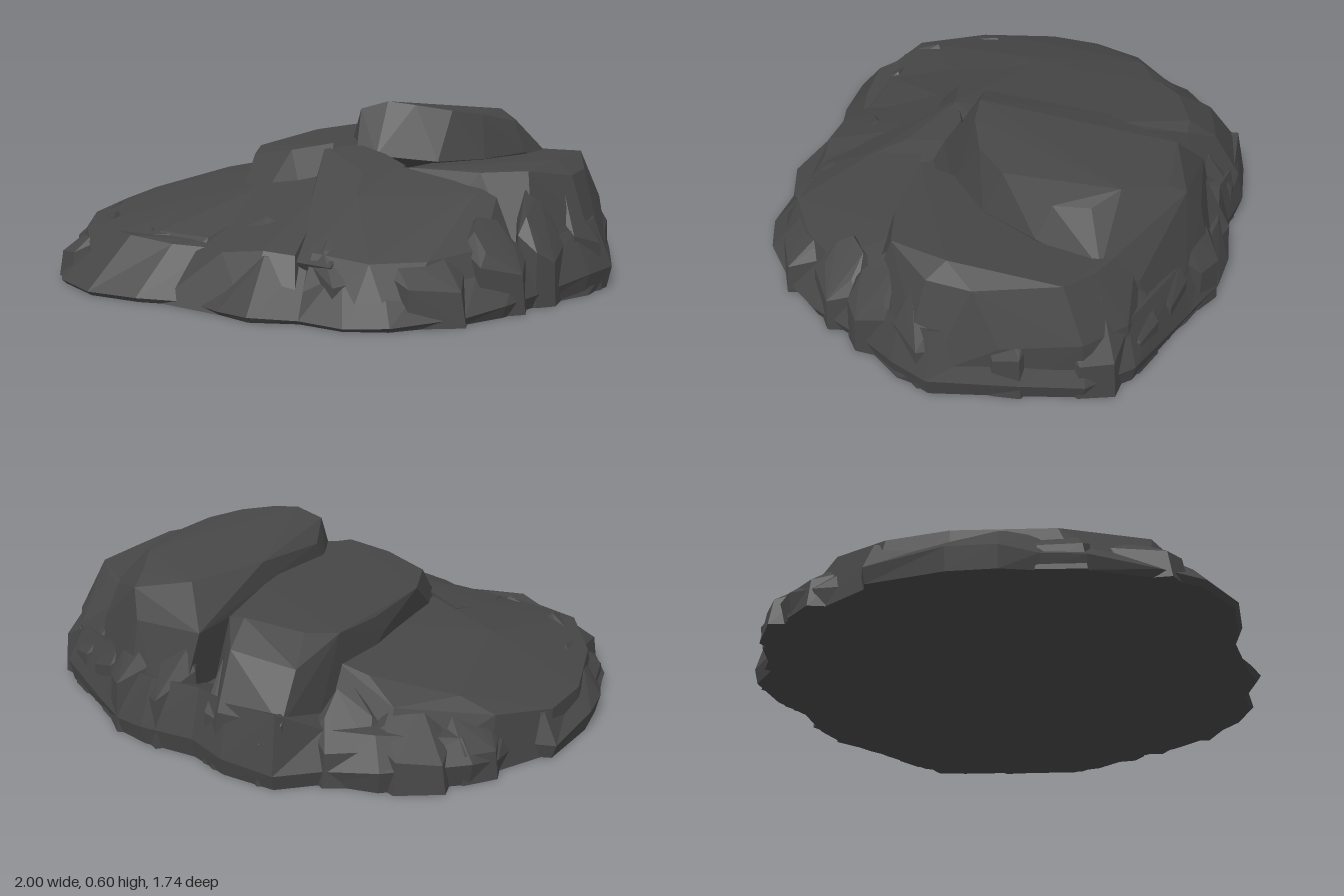
import * as THREE from 'three';
import { ConvexGeometry } from 'three/addons/geometries/ConvexGeometry.js';

const stone = new THREE.MeshStandardMaterial({ color: 0x464646 });
stone.name = 'dark stone';

// Ground outline as x, z pairs, from the back round by the left side
const OUTLINE = [
  [-0.34, -0.86], [-0.15, -0.87], [0, -0.83], [0.2, -0.85], [0.32, -0.83], [0.47, -0.75],
  [0.78, -0.61], [0.89, -0.47], [0.94, -0.26], [1, 0.02], [0.95, 0.15], [0.84, 0.33],
  [0.77, 0.5], [0.68, 0.62], [0.5, 0.78], [0.37, 0.83], [0.22, 0.82], [0.07, 0.87],
  [-0.05, 0.84], [-0.18, 0.79], [-0.36, 0.83], [-0.55, 0.83], [-0.72, 0.75], [-0.81, 0.63],
  [-0.91, 0.44], [-0.94, 0.31], [-0.98, 0.2], [-1, 0.05], [-0.98, -0.2], [-0.87, -0.25],
  [-0.87, -0.4], [-0.83, -0.5], [-0.62, -0.7], [-0.45, -0.75],
];

// Large slabs, each the hull of a few x, y, z corners
const SLABS = {
  rightLowSlab: [
    [-0.96, 0, 0.05], [-0.95, 0, -0.18], [-0.88, 0, 0.42], [-0.78, 0, 0.6], [-0.55, 0, 0.78],
    [-0.3, 0, 0.78], [-0.84, 0, -0.4], [-0.6, 0, -0.65], [-0.3, 0, -0.7],
    [-0.95, 0.15, 0.05], [-0.94, 0.15, -0.15], [-0.87, 0.16, 0.35], [-0.83, 0.18, -0.35],
    [-0.72, 0.17, 0.6], [-0.55, 0.17, 0.66], [-0.3, 0.19, 0.62], [-0.8, 0.21, 0.05],
    [-0.72, 0.23, -0.38], [-0.6, 0.26, 0.1], [-0.36, 0.3, -0.1], [-0.34, 0.3, -0.5],
    [-0.46, 0.28, -0.5], [-0.3, 0.29, 0.22], [-0.58, 0.22, -0.55],
  ],
  middleSlab: [
    [-0.38, 0, -0.75], [-0.3, 0, -0.83], [-0.1, 0, -0.85], [0, 0, -0.8], [0.2, 0, 0.6],
    [-0.25, 0, 0.55], [-0.37, 0.33, -0.25], [-0.36, 0.39, -0.3], [-0.35, 0.4, -0.5],
    [-0.35, 0.4, 0], [-0.27, 0.4, 0.19], [-0.1, 0.43, 0.23], [0.05, 0.46, 0.2],
    [0.12, 0.46, 0.1], [0.08, 0.46, -0.1], [0.02, 0.46, -0.4], [-0.27, 0.41, -0.58],
    [-0.08, 0.44, -0.64], [-0.02, 0.43, -0.64], [-0.32, 0.34, -0.7], [-0.1, 0.37, -0.74],
    [-0.34, 0.2, -0.81], [-0.12, 0.2, -0.84],
  ],
  leftShelf: [
    [0.95, 0, 0.14], [0.97, 0, 0.02], [0.92, 0, -0.26], [0.87, 0, -0.46], [0.76, 0, -0.6],
    [0.82, 0, 0.33], [0.3, 0, 0.4], [0.4, 0, -0.7], [0.98, 0.08, 0.02], [0.92, 0.2, -0.2],
    [0.92, 0.22, 0.08], [0.86, 0.22, -0.45], [0.87, 0.38, -0.1], [0.86, 0.38, 0.05],
    [0.8, 0.42, 0], [0.75, 0.41, 0.2], [0.6, 0.4, 0.24], [0.35, 0.4, 0.24],
    [0.8, 0.4, -0.37], [0.7, 0.38, -0.45], [0.74, 0.22, -0.57], [0.5, 0.37, -0.55],
  ],
  topDome: [
    [0.1, 0.57, 0.07], [0.2, 0.6, 0.06], [0.3, 0.59, 0.05], [0.42, 0.57, 0], [0.5, 0.55, -0.1],
    [0.57, 0.51, -0.28], [0.54, 0.5, -0.4], [0.46, 0.53, -0.48], [0.37, 0.5, -0.62],
    [0.15, 0.51, -0.62], [0.06, 0.52, -0.35], [0.04, 0.51, -0.05], [0.03, 0.42, 0],
    [0.12, 0.42, 0.16], [0.2, 0.42, 0.17], [0.4, 0.4, 0.09], [0.53, 0.4, -0.04],
    [0.62, 0.4, -0.24], [0.66, 0.36, -0.46], [0.05, 0.38, -0.71], [0.3, 0.38, -0.73],
    [0.35, 0.47, -0.68], [0.46, 0.37, -0.64], [0.6, 0.28, -0.58],
    [0.1, 0, -0.82], [0.3, 0, -0.82], [0.48, 0, -0.74], [0.6, 0, -0.66],
  ],
  frontMiddleSlope: [
    [-0.3, 0, 0.8], [-0.18, 0, 0.78], [0.05, 0, 0.84], [0.2, 0, 0.8], [-0.25, 0.15, 0.68],
    [-0.1, 0.17, 0.72], [0.05, 0.19, 0.72], [0.15, 0.18, 0.7], [-0.1, 0.25, 0.48],
    [0.1, 0.29, 0.45], [0.1, 0.37, 0.28], [-0.2, 0.34, 0.24],
  ],
  frontLeftSlope: [
    [0.2, 0, 0.8], [0.37, 0, 0.81], [0.5, 0, 0.76], [0.66, 0, 0.6], [0.75, 0, 0.48],
    [0.82, 0, 0.33], [0.2, 0.19, 0.68], [0.4, 0.18, 0.7], [0.55, 0.18, 0.6],
    [0.68, 0.2, 0.45], [0.25, 0.33, 0.45], [0.45, 0.32, 0.38], [0.6, 0.34, 0.28],
    [0.3, 0.4, 0.25], [0.65, 0.39, 0.15],
  ],
  frontSaddle: [
    [0, 0.2, 0.1], [0.4, 0.2, 0.1], [0.02, 0.45, 0.2], [0.14, 0.45, 0.15], [0.24, 0.43, 0.18],
    [0.32, 0.4, 0.2], [0.05, 0.39, 0.29], [0.22, 0.39, 0.33], [0.1, 0.28, 0.5],
    [0.26, 0.3, 0.5], [0.15, 0.16, 0.7], [0.28, 0.16, 0.72], [0.05, 0, 0.6], [0.3, 0, 0.6],
  ],
  frontRightSlope: [
    [-0.5, 0, 0.3], [-0.1, 0, 0.3], [-0.42, 0.28, 0.18], [-0.28, 0.3, 0.25],
    [-0.15, 0.32, 0.3], [-0.46, 0.24, 0.38], [-0.25, 0.26, 0.42], [-0.12, 0.25, 0.48],
    [-0.4, 0.19, 0.62], [-0.2, 0.19, 0.64], [-0.4, 0, 0.8], [-0.18, 0, 0.77],
  ],
};

// Crags round the rim, sloping outwards: x, z, width, depth, height
const CRAGS = [
  [-0.27, -0.73, 0.2, 0.24, 0.34], [-0.1, -0.74, 0.16, 0.22, 0.35], [0.15, -0.73, 0.2, 0.22, 0.38],
  [0.32, -0.71, 0.2, 0.22, 0.38], [0.48, -0.64, 0.2, 0.18, 0.34], [-0.46, -0.62, 0.24, 0.26, 0.25],
  [-0.64, -0.55, 0.28, 0.24, 0.22], [-0.77, -0.4, 0.2, 0.22, 0.21], [0.64, -0.56, 0.22, 0.2, 0.3],
  [0.79, -0.45, 0.18, 0.26, 0.33], [0.86, -0.2, 0.16, 0.26, 0.37], [0.88, 0.05, 0.18, 0.22, 0.36],
  [0.8, 0.24, 0.18, 0.22, 0.35], [0.7, 0.4, 0.22, 0.24, 0.28], [0.52, 0.58, 0.34, 0.26, 0.24],
  [0.3, 0.64, 0.24, 0.26, 0.25], [-0.02, 0.63, 0.3, 0.28, 0.25],
  [-0.28, 0.62, 0.26, 0.26, 0.22], [-0.52, 0.65, 0.32, 0.22, 0.2], [-0.72, 0.55, 0.22, 0.28, 0.2],
  [-0.85, 0.32, 0.16, 0.28, 0.19], [-0.9, -0.02, 0.15, 0.3, 0.18],
];

let seed = 7;
const random = () => (seed = (seed * 16807) % 2147483647) / 2147483647;

function hull(name, points) {
  const mesh = new THREE.Mesh(new ConvexGeometry(points.map(p => new THREE.Vector3(...p))), stone);
  mesh.name = name;
  return mesh;
}

// Irregular block whose top falls away from the middle of the rock
function crag([x, z, w, d, h]) {
  const away = new THREE.Vector2(x, z).normalize();
  const points = [];
  for (let i = 0; i < 6; i++) {
    const a = (i + random() * 0.6) * Math.PI / 3;
    const dx = Math.cos(a), dz = Math.sin(a);
    const outward = dx * away.x + dz * away.y;
    const edge = h * (0.74 - 0.26 * outward + random() * 0.08);
    points.push([x + dx * w * 0.54, 0, z + dz * d * 0.54]);
    points.push([x + dx * w * 0.48, edge * 0.8, z + dz * d * 0.48]);
    points.push([x + dx * w * 0.3, edge, z + dz * d * 0.3]);
  }
  return hull('rimCrag', points);
}

// Foot of the rock: flat underside, uneven rim, gentle front and steep sides
function foot() {
  const n = OUTLINE.length;
  const rings = [[], [], [], [], [], []];
  for (const [x, z] of OUTLINE) {
    const front = THREE.MathUtils.smoothstep(z, 0.15, 0.75);
    const shoulder = 1 - THREE.MathUtils.lerp(0.05, 0.15, front) - random() * 0.03;
    const height = THREE.MathUtils.lerp(x < -0.4 ? 0.13 : 0.2, 0.15, front) + random() * 0.04;
    const rim = THREE.MathUtils.lerp(0.06, 0.015, front) * (0.7 + random() * 0.6);
    const profile = [[0, 0], [0.985, 0], [1, rim], [shoulder, height], [0.78, 0.18], [0, 0.2]];
    profile.forEach(([s, y], r) => rings[r].push(x * s, y, z * s));
  }
  const index = [];
  for (let r = 0; r < rings.length - 1; r++) {
    for (let i = 0; i < n; i++) {
      const a = r * n + i, b = r * n + (i + 1) % n, c = a + n, d = b + n;
      if (r > 0) index.push(a, c, b);
      if (r < rings.length - 2) index.push(b, c, d);
    }
  }
  const indexed = new THREE.BufferGeometry();
  indexed.setAttribute('position', new THREE.Float32BufferAttribute(rings.flat(), 3));
  indexed.setIndex(index);
  const geometry = indexed.toNonIndexed();
  geometry.computeVertexNormals();
  const mesh = new THREE.Mesh(geometry, stone);
  mesh.name = 'foot';
  return mesh;
}

export function createModel() {
  seed = 7;
  const rock = new THREE.Group();
  rock.name = 'rock';
  rock.add(foot());
  for (const [name, points] of Object.entries(SLABS)) rock.add(hull(name, points));
  const crags = new THREE.Group();
  crags.name = 'rimCrags';
  CRAGS.forEach(c => crags.add(crag(c)));
  rock.add(crags);
  return rock;
}
